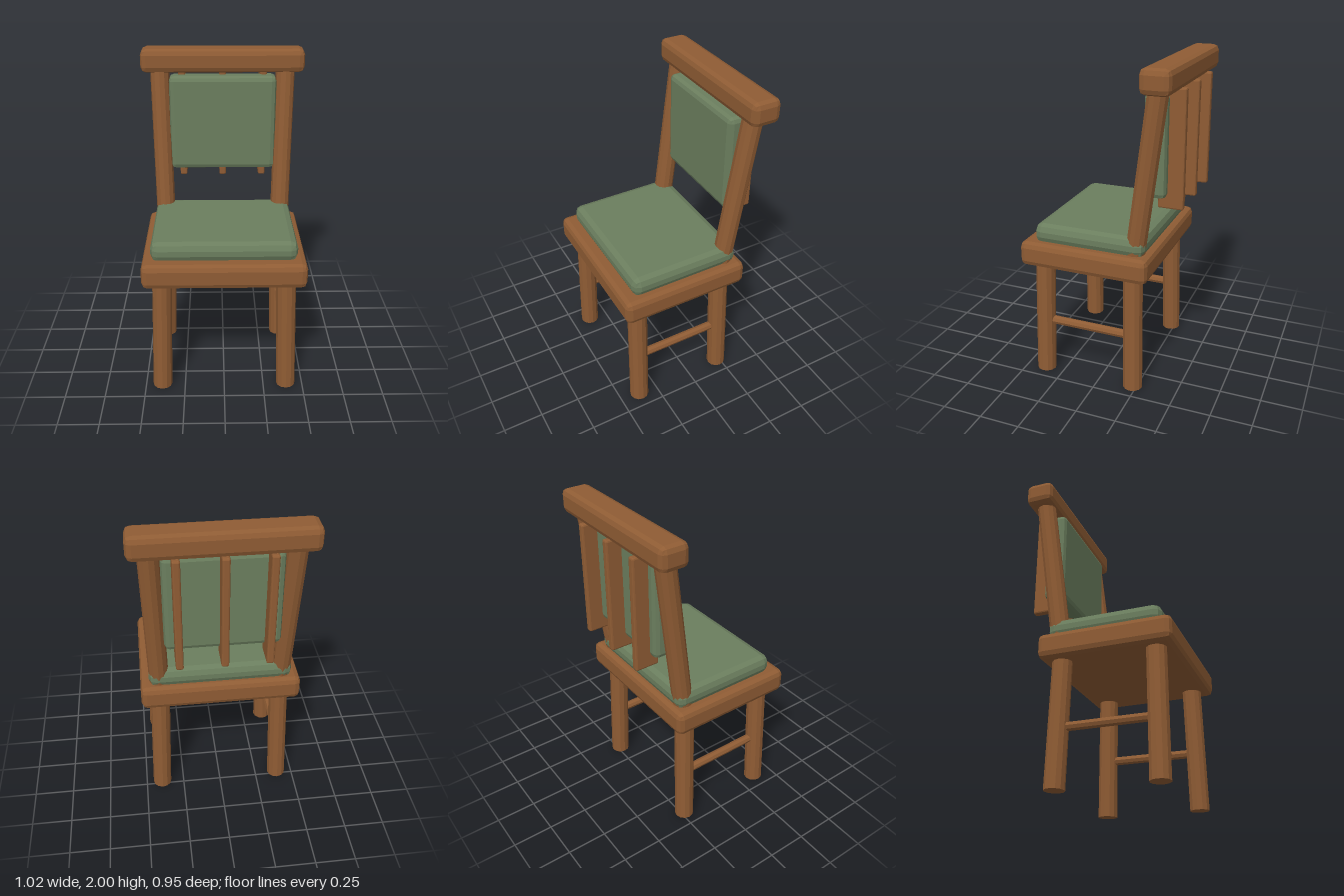
import * as THREE from 'three';
import { RoundedBoxGeometry } from 'three/addons/geometries/RoundedBoxGeometry.js';

export function createModel() {
  const group = new THREE.Group();
  group.name = 'chair';

  const wood = new THREE.MeshStandardMaterial({ color: 0x8f5c34, flatShading: true });
  wood.name = 'brown wood';
  const fabric = new THREE.MeshStandardMaterial({ color: 0x6b7e5e, flatShading: true });
  fabric.name = 'green fabric';

  // Bevelled box given by its extents on each axis
  function block(name, material, [x0, x1], [y0, y1], [z0, z1], bevel) {
    const geometry = new RoundedBoxGeometry(x1 - x0, y1 - y0, z1 - z0, 1, bevel);
    const mesh = new THREE.Mesh(geometry, material);
    mesh.name = name;
    mesh.position.set((x0 + x1) / 2, (y0 + y1) / 2, (z0 + z1) / 2);
    group.add(mesh);
  }

  // Round bar running between two points
  function bar(name, from, to, radius, sides) {
    const a = new THREE.Vector3(...from);
    const b = new THREE.Vector3(...to);
    const axis = b.clone().sub(a);
    const mesh = new THREE.Mesh(new THREE.CylinderGeometry(radius, radius, axis.length(), sides), wood);
    mesh.name = name;
    mesh.position.copy(a).add(b).multiplyScalar(0.5);
    mesh.quaternion.setFromUnitVectors(new THREE.Vector3(0, 1, 0), axis.normalize());
    group.add(mesh);
  }

  // Seat and cushion
  block('seat', wood, [-0.49, 0.49], [0.757, 0.91], [-0.332, 0.477], 0.035);
  block('seatCushion', fabric, [-0.437, 0.437], [0.893, 1.017], [-0.295, 0.402], 0.045);

  // Backrest: top rail, pad and three slats behind it
  block('topRail', wood, [-0.51, 0.51], [1.856, 2], [-0.457, -0.28], 0.035);
  block('backPad', fabric, [-0.335, 0.335], [1.238, 1.84], [-0.385, -0.253], 0.03);
  for (const x of [-0.257, 0, 0.257]) {
    block('backSlat', wood, [x - 0.022, x + 0.022], [1.17, 1.868], [-0.478, -0.327], 0.01);
  }

  // Splayed legs, side stretchers and raked back posts
  for (const side of [-1, 1]) {
    const name = side > 0 ? 'left' : 'right';
    bar(name + 'FrontLeg', [side * 0.395, 0.003, 0.371], [side * 0.372, 0.8, 0.359], 0.06, 12);
    bar(name + 'BackLeg', [side * 0.395, 0.003, -0.226], [side * 0.372, 0.8, -0.214], 0.06, 12);
    bar(name + 'Stretcher', [side * 0.384, 0.358, 0.34], [side * 0.384, 0.358, -0.2], 0.027, 8);
    bar(name + 'BackPost', [side * 0.375, 0.9, -0.228], [side * 0.395, 1.9, -0.363], 0.06, 12);
  }

  return group;
}
